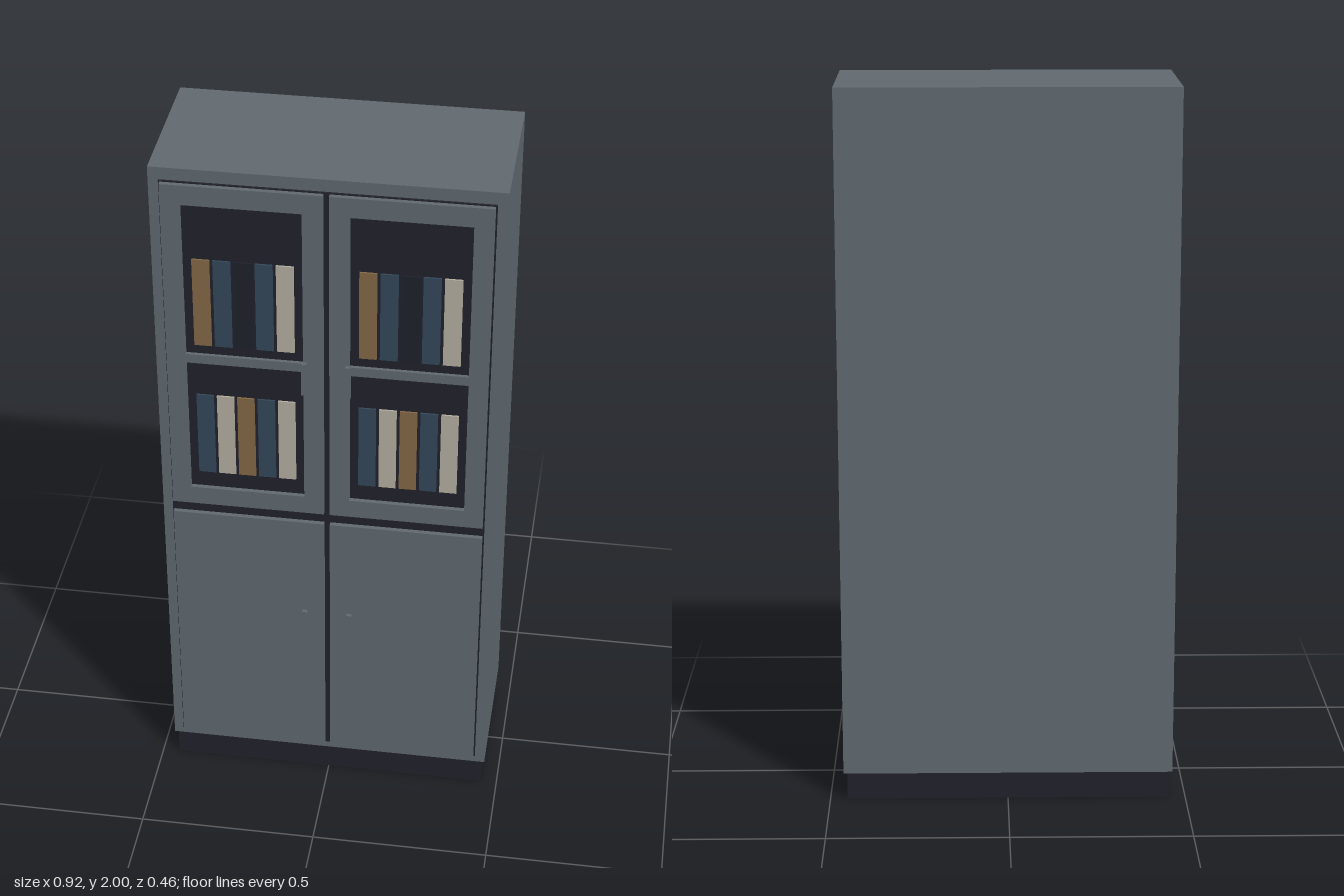
import * as THREE from 'three';

const paint = (name, color) => {
  const m = new THREE.MeshStandardMaterial({ color });
  m.name = name;
  return m;
};

export function createModel() {
  const grey = paint('slate grey', 0x626b72);
  const dark = paint('shadow black', 0x22222c);
  const blue = paint('book blue', 0x34495c);
  const brown = paint('book brown', 0x866a48);
  const cream = paint('book cream', 0xb8b2a3);
  const black = paint('book black', 0x1f222b);

  const root = new THREE.Group();
  root.name = 'bookCabinet';

  // Box given by its limits on each axis
  const box = (name, mat, x0, x1, y0, y1, z0, z1, parent = root) => {
    const mesh = new THREE.Mesh(new THREE.BoxGeometry(x1 - x0, y1 - y0, z1 - z0), mat);
    mesh.position.set((x0 + x1) / 2, (y0 + y1) / 2, (z0 + z1) / 2);
    mesh.name = name;
    parent.add(mesh);
    return mesh;
  };

  // Body, plinth and the dark panel showing in the gaps between doors
  box('carcass', grey, -0.462, 0.462, 0.08, 2, -0.23, 0.2);
  box('plinth', dark, -0.452, 0.452, 0, 0.08, -0.217, 0.195);
  box('gapPanel', dark, -0.434, 0.434, 0.105, 1.965, 0.2, 0.206);

  const rows = [
    { y0: 1.475, y1: 1.74, colors: [brown, blue, black, blue, cream] },
    { y0: 1.06, y1: 1.315, colors: [blue, cream, brown, blue, cream] },
  ];

  for (const side of [-1, 1]) {
    const label = side > 0 ? 'left' : 'right';
    const group = new THREE.Group();
    group.name = label + 'Doors';
    root.add(group);
    const span = (a, b) => (side > 0 ? [a, b] : [-b, -a]);

    // Solid lower door
    box('lowerDoor', grey, ...span(0.008, 0.43), 0.108, 0.92, 0.206, 0.219, group);

    // Framed upper door with a window opening
    const [d0, d1] = span(0.008, 0.43);
    const [w0, w1] = span(0.062, 0.378);
    const frame = new THREE.Shape([[d0, 0.955], [d1, 0.955], [d1, 1.962], [d0, 1.962]]
      .map(p => new THREE.Vector2(...p)));
    frame.holes.push(new THREE.Path([[w0, 1.01], [w0, 1.905], [w1, 1.905], [w1, 1.01]]
      .map(p => new THREE.Vector2(...p))));
    const door = new THREE.Mesh(
      new THREE.ExtrudeGeometry(frame, { depth: 0.013, bevelEnabled: false }), grey);
    door.position.z = 0.206;
    door.name = 'upperDoorFrame';
    group.add(door);

    // Shelf edge across the window
    box('shelf', grey, w0, w1, 1.42, 1.447, 0.206, 0.216, group);

    // Rows of book spines, in the same order behind both windows
    for (const { y0, y1, colors } of rows) {
      colors.forEach((mat, i) => {
        const x = w0 + 0.047 + i * 0.0555;
        box('book', mat, x - 0.0235, x + 0.0235, y0, y1, 0.206, 0.211, group);
      });
    }

    // Handles
    box('upperHandle', grey, ...span(0.052, 0.066), 1.355, 1.453, 0.219, 0.23, group);
    box('lowerHandle', grey, ...span(0.056, 0.07), 0.51, 0.61, 0.219, 0.23, group);
  }
  return root;
}
